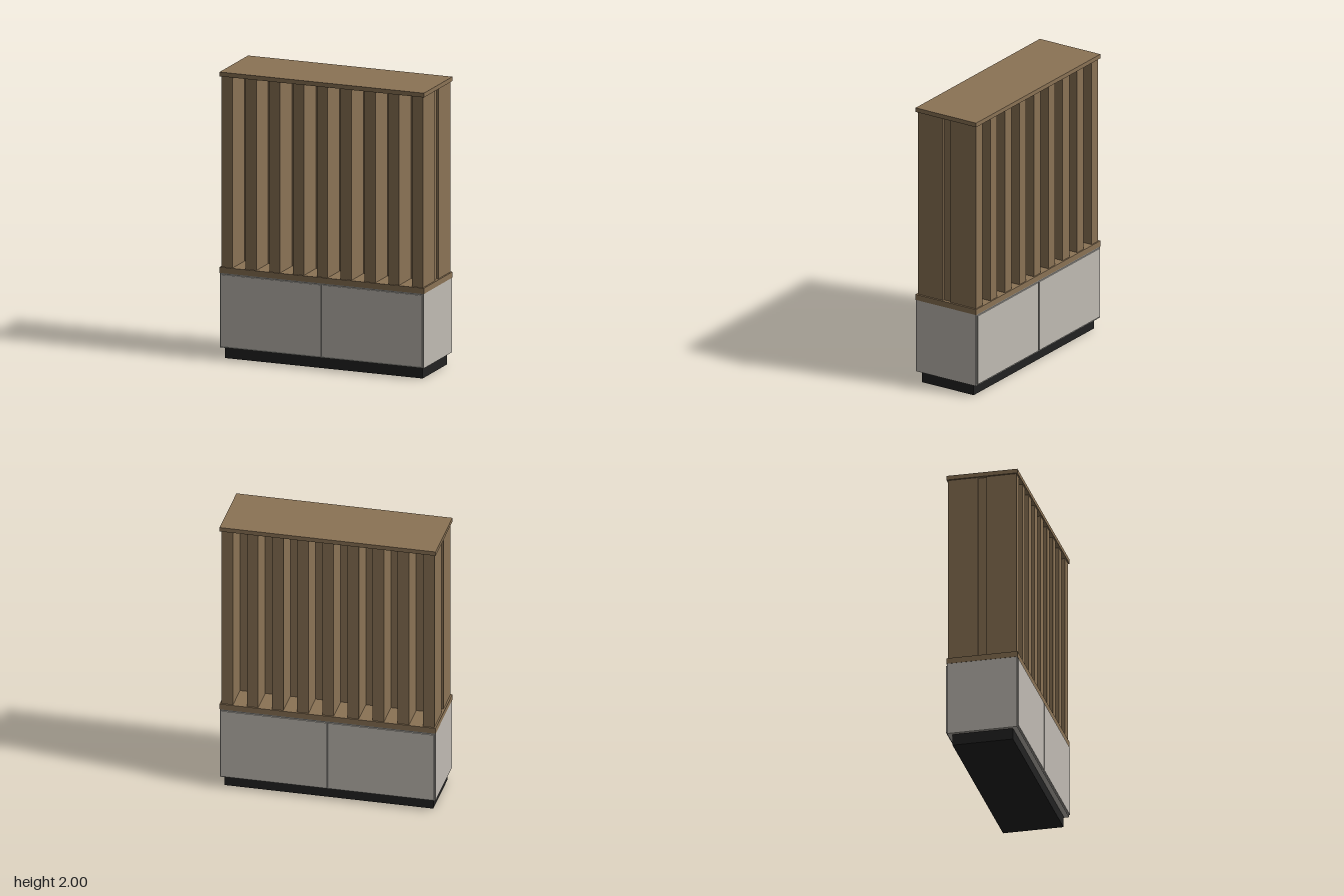
import * as THREE from 'three';

export function createModel() {
  const model = new THREE.Group();
  model.name = 'slattedRoomDivider';

  const material = (name, color) => {
    const m = new THREE.MeshStandardMaterial({ color });
    m.name = name;
    return m;
  };
  const wood = material('wood', 0x8b7355);
  const lacquer = material('lightGreyLacquer', 0xc0bbb3);
  const reveal = material('greyReveal', 0x8c8a85);
  const black = material('blackPlinth', 0x222222);

  // Box given by its centre in x and z, its bottom and top, and its width and depth
  const box = (name, mat, x, z, bottom, top, width, depth) => {
    const mesh = new THREE.Mesh(new THREE.BoxGeometry(width, top - bottom, depth), mat);
    mesh.name = name;
    mesh.position.set(x, (bottom + top) / 2, z);
    model.add(mesh);
  };

  // Base cabinet
  box('plinth', black, 0, 0, 0, 0.08, 1.45, 0.42);
  box('cabinetBody', lacquer, 0, 0, 0.08, 0.6, 1.496, 0.482);
  box('counter', wood, 0, 0, 0.6, 0.64, 1.5, 0.494);

  // Doors on both faces, over a thin reveal
  for (const side of [1, -1]) {
    box('doorReveal', reveal, 0, side * 0.242, 0.08, 0.6, 1.494, 0.004);
    for (const x of [-0.372, 0.372]) {
      box('door', lacquer, x, side * 0.248, 0.092, 0.59, 0.732, 0.009);
    }
  }

  // Screen: central panel with deep slats on both faces
  box('centrePanel', wood, 0, 0, 0.64, 1.97, 1.45, 0.06);
  for (let i = 0; i < 9; i++) {
    const x = (i - 4) * 0.1747;
    for (const side of [1, -1]) {
      box('slat', wood, x, side * 0.1335, 0.64, 1.97, 0.079, 0.207);
    }
  }
  box('topBoard', wood, 0, 0, 1.97, 2, 1.5, 0.494);

  return model;
}
